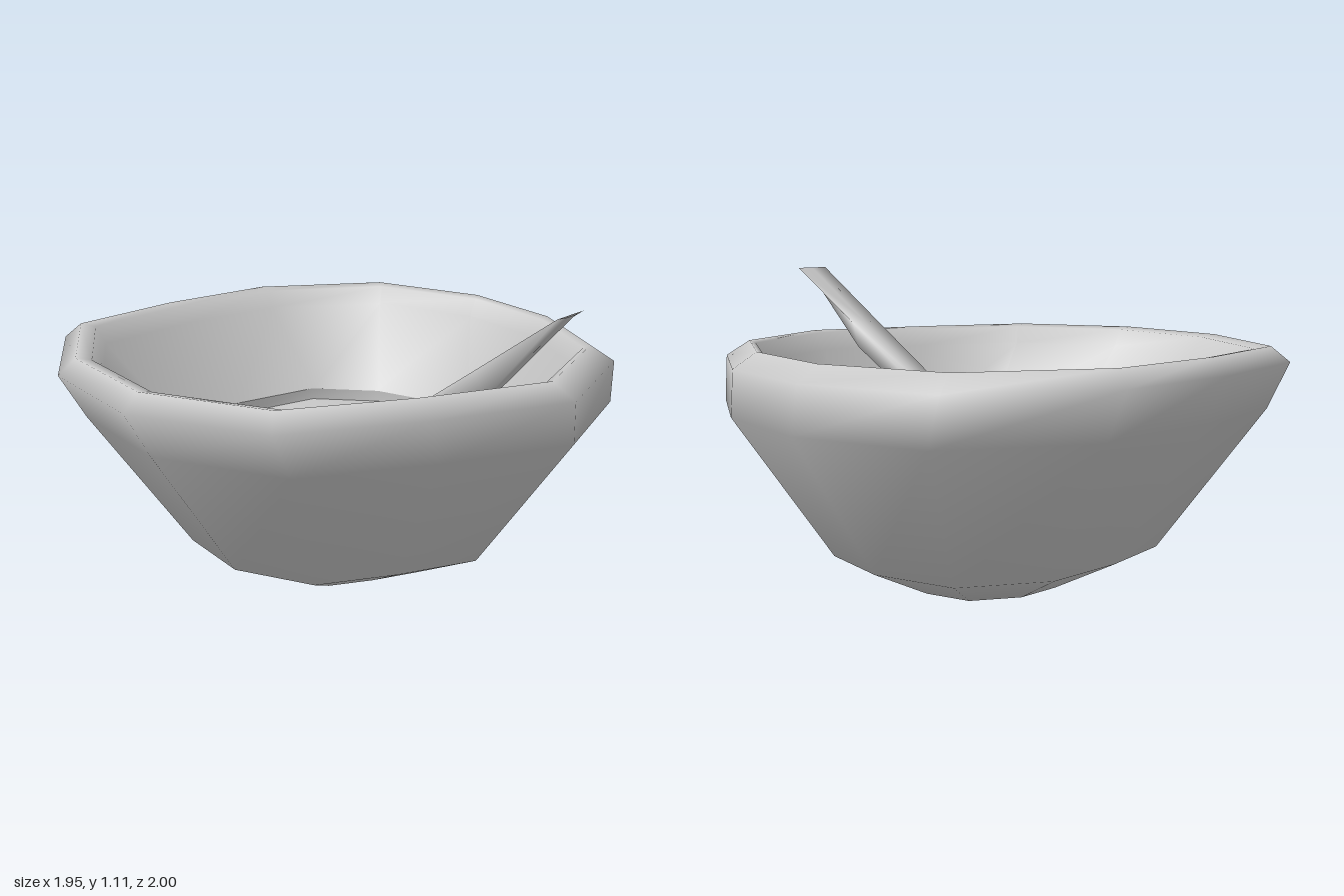
import * as THREE from 'three';

// Uneven twelve-sided outlines as [x, z, height offset], clockwise seen from above
const RIM = [[-0.04, -0.99], [0.42, -0.83], [0.8, -0.52], [0.95, 0], [0.72, 0.45], [0.45, 0.86],
  [-0.04, 1], [-0.54, 0.86], [-0.96, 0.5], [-0.975, 0], [-0.9, -0.5], [-0.55, -0.93]];
const SOUP = [[0.05, -0.72, -0.04], [0.27, -0.65, -0.03], [0.48, -0.47], [0.65, -0.09], [0.54, 0.26],
  [0.36, 0.53, 0.04], [0.02, 0.61], [-0.3, 0.5, -0.04], [-0.59, 0.27], [-0.62, -0.07],
  [-0.53, -0.42], [-0.34, -0.62, -0.02]];

const material = new THREE.MeshStandardMaterial({ color: 0xcccccc, side: THREE.DoubleSide });

// Scaled and shifted copy of an outline at height y
const ring = (outline, y, s, dx = 0, dz = 0) =>
  outline.map(([x, z, dy = 0]) => [x * s + dx, y + dy * s, z * s + dz]);

// Smooth skin through a list of closed rings with equal point counts
function loft(rings) {
  const n = rings[0].length;
  const index = [];
  for (let r = 0; r < rings.length - 1; r++) {
    for (let i = 0; i < n; i++) {
      const a = r * n + i, b = r * n + (i + 1) % n;
      index.push(a, a + n, b, b, a + n, b + n);
    }
  }
  const geometry = new THREE.BufferGeometry();
  geometry.setAttribute('position', new THREE.Float32BufferAttribute(rings.flat(2), 3));
  geometry.setIndex(index);
  geometry.computeVertexNormals();
  return geometry;
}

function addMesh(parent, name, geometry) {
  const mesh = new THREE.Mesh(geometry, material);
  mesh.name = name;
  parent.add(mesh);
}

export function createModel() {
  const model = new THREE.Group();
  model.name = 'bowlWithSpoon';

  // Bowl: from under the foot, up the outside, over the rim and down the inside
  addMesh(model, 'bowl', loft([
    ring(RIM, 0, 0, -0.02, -0.045),
    ring(RIM, 0.003, 0.18, -0.02, -0.045),
    ring(RIM, 0.015, 0.335, -0.02, -0.045),
    ring(RIM, 0.14, 0.6, -0.005, -0.045),
    ring(RIM, 0.65, 0.96, 0.012, -0.05),
    ring(RIM, 0.81, 1),
    ring(RIM, 0.865, 0.925, -0.01, 0.01),
    ring(RIM, 0.855, 0.885),
    ring(RIM, 0.79, 0.85),
    ring(SOUP, 0.48, 1),
  ]));

  // Soup: a short drop below the inner wall, then a gently domed surface
  addMesh(model, 'soupEdge', loft([ring(SOUP, 0.48, 1), ring(SOUP, 0.435, 1)]));
  addMesh(model, 'soup', loft([
    ring(SOUP, 0.435, 1), ring(SOUP, 0.46, 0.75), ring(SOUP, 0.47, 0.4), ring(SOUP, 0.47, 0),
  ]));

  // Spoon handle: a straight keeled bar that thins to a flat end
  const spoon = new THREE.Group();
  spoon.name = 'spoon';
  const section = (x, y, half, depth) => [
    [x, y, 0.105 - half], [x, y, 0.105], [x, y, 0.105 + half],
    [x + depth * 0.15, y - depth, 0.105 + half * 0.35], [x + depth * 0.15, y - depth, 0.105 - half * 0.35],
  ];
  addMesh(spoon, 'spoonHandle', loft([
    section(0.175, 0.54, 0.05, 0.05),
    section(0.21, 0.565, 0.066, 0.08),
    section(0.68, 0.9, 0.073, 0.1),
    section(0.974, 1.112, 0.076, 0.004),
  ]));

  // Part of the spoon's rim that curves out of the soup
  const rimCurve = new THREE.CatmullRomCurve3([
    [0.01, 0.47, -0.105], [0.1, 0.505, -0.065], [0.165, 0.53, 0.02],
    [0.185, 0.54, 0.1], [0.165, 0.53, 0.17], [0.115, 0.5, 0.25], [0.12, 0.46, 0.32],
  ].map((p) => new THREE.Vector3(...p)));
  addMesh(spoon, 'spoonRim', new THREE.TubeGeometry(rimCurve, 8, 0.023, 5));
  model.add(spoon);

  return model;
}
